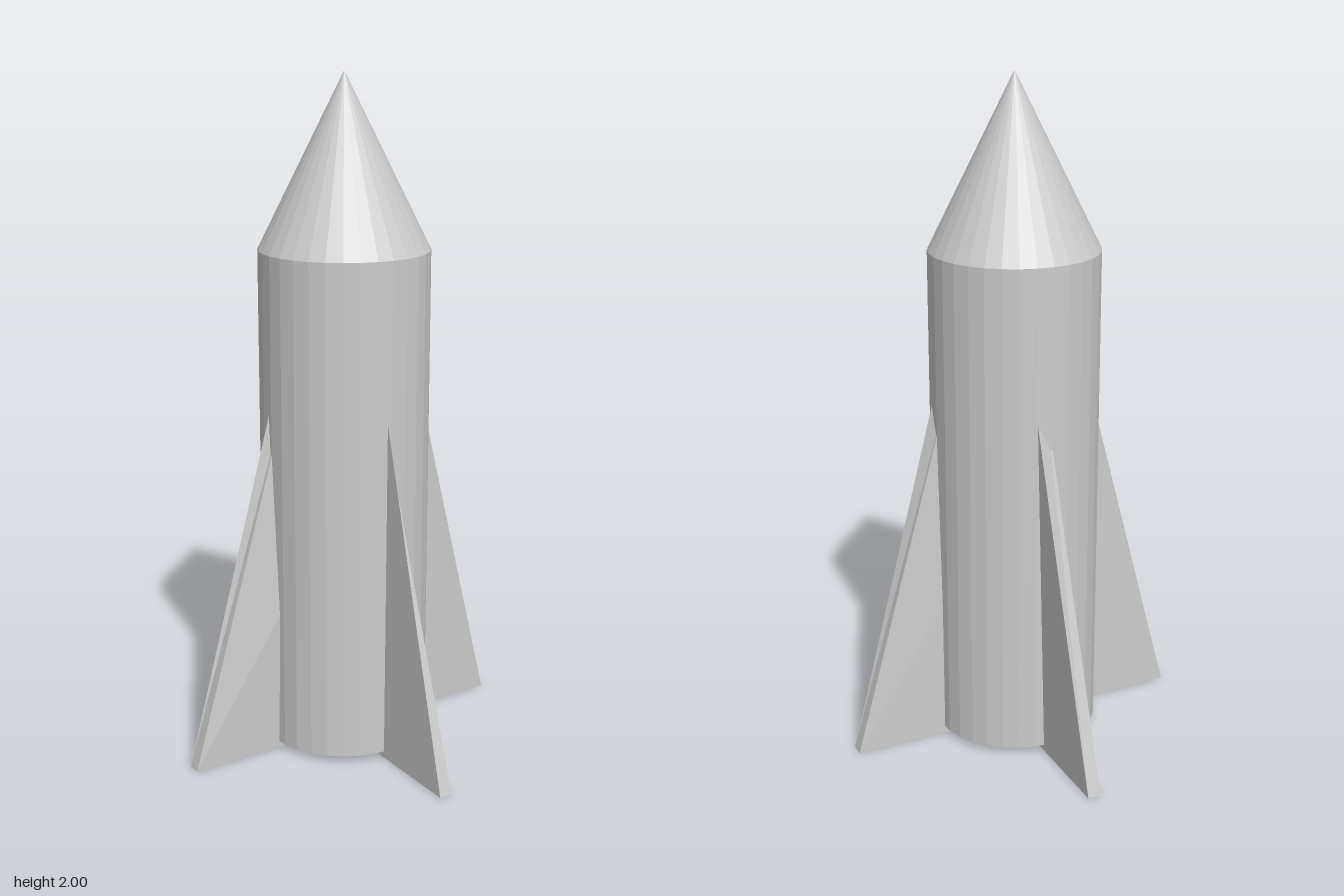
import * as THREE from 'three';

const material = new THREE.MeshStandardMaterial({ color: 0xcccccc, flatShading: true });

// Tapered plate through the body, slightly twisted; its two ends form a pair of opposite fins
function finPlateGeometry() {
  const corners = [
    [-0.53, 0, 0.02], [0.53, 0, 0.02], [0.53, 0, -0.02], [-0.53, 0, -0.02],
    [-0.18, 1.15, -0.005], [0.218, 1.15, 0.048], [0.198, 1.15, 0.004], [-0.218, 1.15, -0.015],
  ];
  // front, back, right edge, left edge, top, bottom; each split along its first diagonal
  const quads = [[0, 1, 5, 4], [2, 3, 7, 6], [1, 2, 6, 5], [3, 0, 4, 7], [4, 5, 6, 7], [3, 2, 1, 0]];
  const positions = [];
  for (const [a, b, c, d] of quads) {
    for (const i of [a, b, c, a, c, d]) positions.push(...corners[i]);
  }
  const geometry = new THREE.BufferGeometry();
  geometry.setAttribute('position', new THREE.Float32BufferAttribute(positions, 3));
  geometry.computeVertexNormals();
  return geometry;
}

export function createModel() {
  const model = new THREE.Group();
  model.name = 'rocket';

  const add = (name, geometry, y = 0) => {
    const mesh = new THREE.Mesh(geometry, material);
    mesh.name = name;
    mesh.position.y = y;
    model.add(mesh);
    return mesh;
  };

  // Body tube and nose
  add('body', new THREE.CylinderGeometry(0.25, 0.25, 1.48, 32), 0.76);
  add('noseCone', new THREE.ConeGeometry(0.25, 0.5, 32), 1.75);

  // Two crossed plates make the four fins
  const plate = finPlateGeometry();
  add('sideFins', plate);
  add('frontBackFins', plate).rotation.y = Math.PI / 2;

  return model;
}
